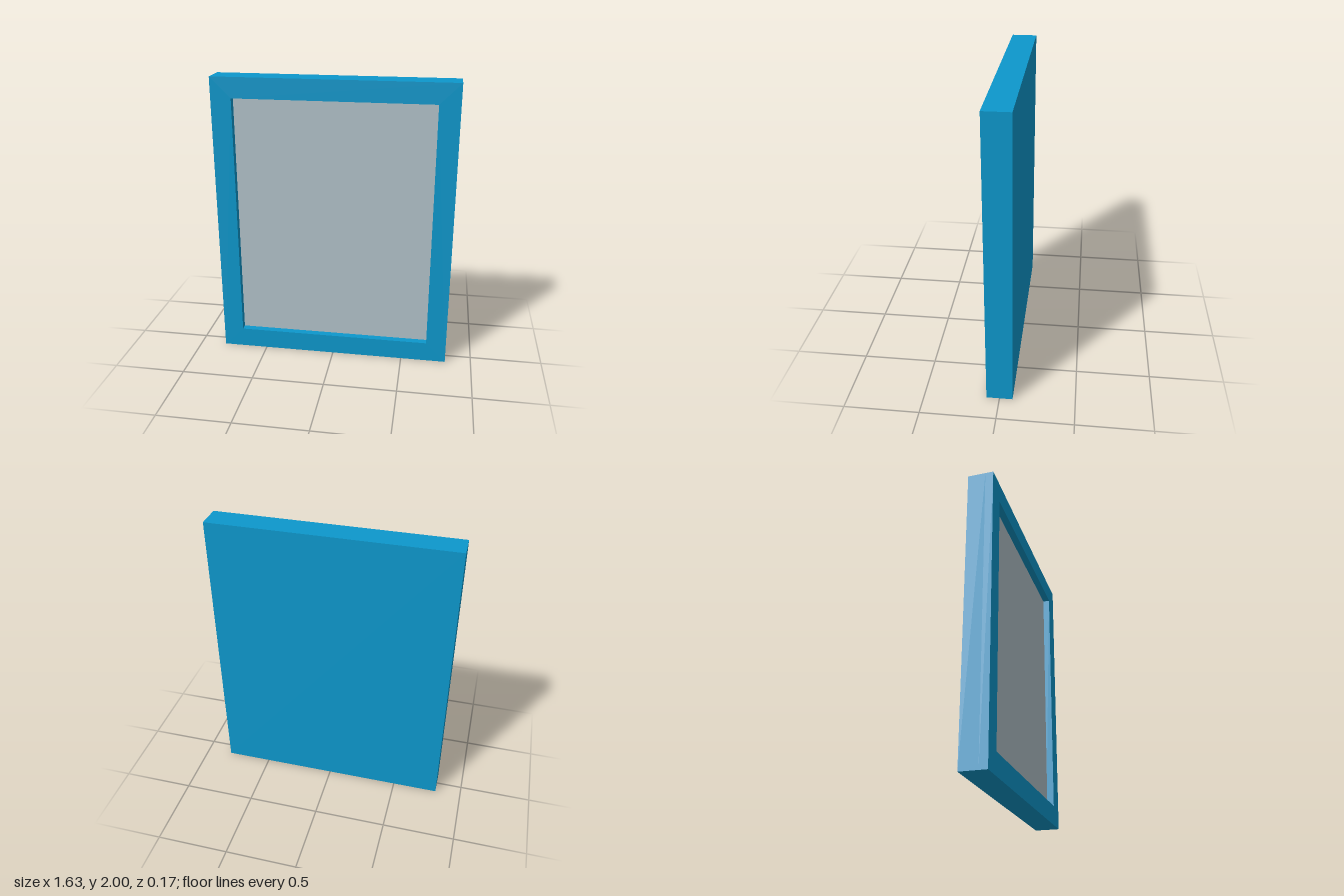
import * as THREE from 'three';

const W = 1.634, H = 2, D = 0.174;   // outer size
const BORDER = 0.14, RECESS = 0.048; // rim width and depth of the opening
const PLATE = 0.006;

export function createModel() {
  const blue = new THREE.MeshStandardMaterial({ name: 'frameBlue', color: 0x0d98cc });
  const grey = new THREE.MeshStandardMaterial({ name: 'panelGrey', color: 0xb2c2c9 });
  const group = new THREE.Group();
  group.name = 'framedPanel';

  const add = (name, geometry, material, z) => {
    const mesh = new THREE.Mesh(geometry, material);
    mesh.name = name;
    mesh.position.set(0, H / 2, z);
    group.add(mesh);
  };
  const rectangle = (path, w, h) => path
    .moveTo(-w / 2, -h / 2).lineTo(w / 2, -h / 2)
    .lineTo(w / 2, h / 2).lineTo(-w / 2, h / 2).closePath();

  // Raised rim around the opening
  const innerW = W - 2 * BORDER, innerH = H - 2 * BORDER;
  const outline = rectangle(new THREE.Shape(), W, H);
  outline.holes.push(rectangle(new THREE.Path(), innerW, innerH));
  const rimDepth = RECESS + PLATE;
  add('frameRim', new THREE.ExtrudeGeometry(outline, { depth: rimDepth, bevelEnabled: false }),
    blue, D / 2 - rimDepth);

  // Solid back behind the rim
  const backDepth = D - rimDepth;
  add('backBoard', new THREE.BoxGeometry(W, H, backDepth), blue, -D / 2 + backDepth / 2);

  // Recessed panel lying on the back board
  add('insetPanel', new THREE.BoxGeometry(innerW, innerH, PLATE), grey, D / 2 - RECESS - PLATE / 2);

  return group;
}
